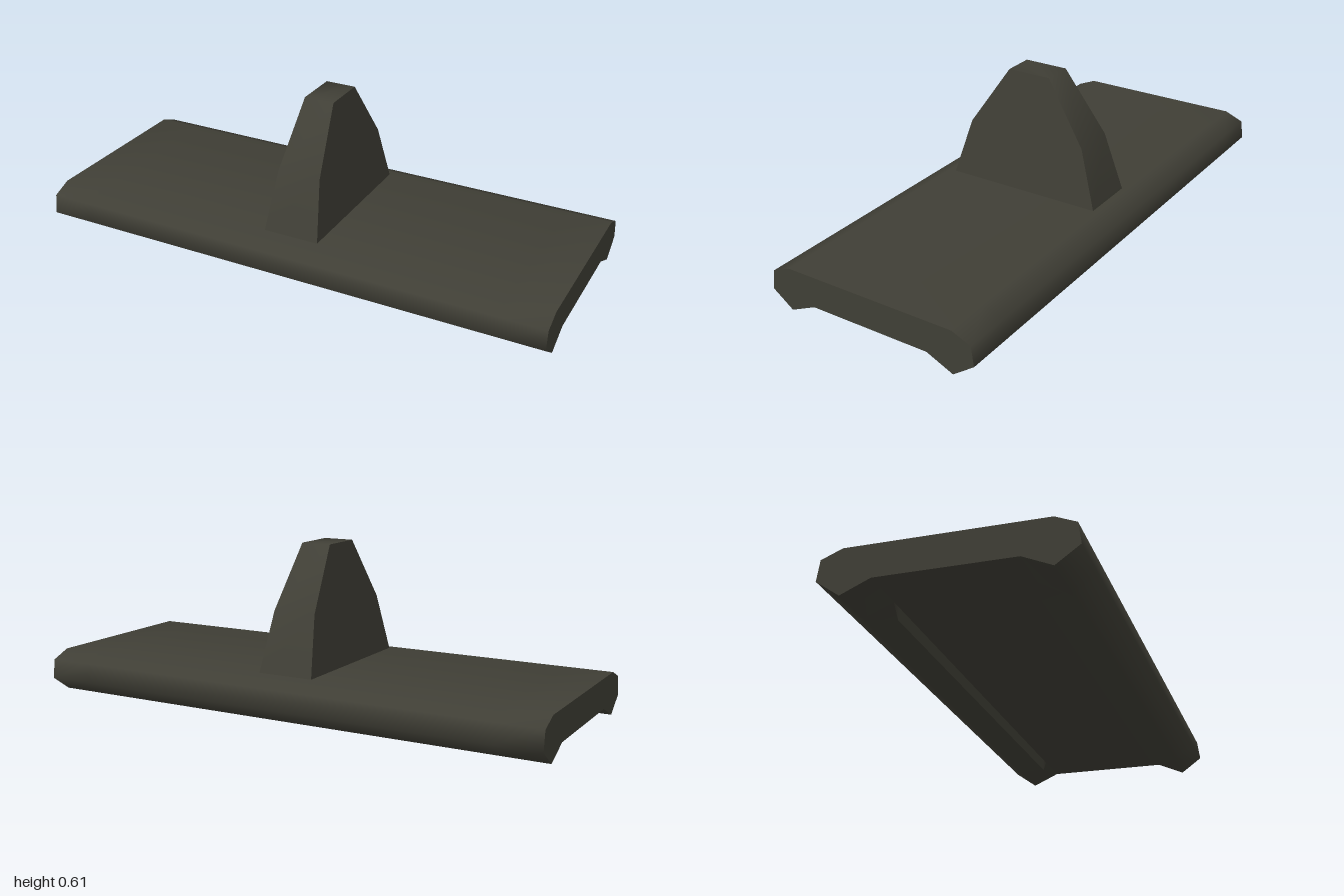
import * as THREE from 'three';
import { toCreasedNormals } from 'three/addons/utils/BufferGeometryUtils.js';

const CREASE = THREE.MathUtils.degToRad(70);
const SHIFT_Z = -0.003;

// Half of the plate's end profile, as [z, y], from the top round to the underside
const HALF = [[0.333, 0.16], [0.405, 0.13], [0.415, 0.058], [0.334, 0], [0.233, 0.045]];
const mirrored = (half) => [...half, ...half.map(([z, y]) => [-z, y]).reverse()];

// Cross-section of the plate; ribY is the height of the underside rib's inner corner
const section = (ribY) => mirrored([...HALF.slice(0, 4), [0.233, ribY], HALF[4]]);

// Skin joining cross-sections along x
function loft(rings) {
  const pos = [];
  const index = [];
  const n = rings[0].points.length;
  rings.forEach(({ x, points }) => points.forEach(([z, y]) => pos.push(x, y, z)));
  for (let r = 0; r < rings.length - 1; r++) {
    for (let i = 0; i < n; i++) {
      const a = r * n + i;
      const b = r * n + (i + 1) % n;
      index.push(a, b, a + n, b, b + n, a + n);
    }
  }
  const geo = new THREE.BufferGeometry();
  geo.setAttribute('position', new THREE.Float32BufferAttribute(pos, 3));
  geo.setIndex(index);
  return toCreasedNormals(geo, CREASE);
}

export function createModel() {
  const model = new THREE.Group();
  model.name = 'trackLink';
  const darkSteel = new THREE.MeshStandardMaterial({ color: 0x403f36 });
  darkSteel.name = 'darkSteel';

  const add = (name, geo) => {
    const mesh = new THREE.Mesh(geo, darkSteel);
    mesh.name = name;
    mesh.position.z = SHIFT_Z;
    model.add(mesh);
    return mesh;
  };

  // Plate with two underside ribs that stop short of the ends
  const plain = section(0.045);
  const ribbed = section(0);
  add('plate', loft([
    { x: -1, points: plain },
    { x: -0.83, points: plain },
    { x: -0.79, points: ribbed },
    { x: 0.79, points: ribbed },
    { x: 0.83, points: plain },
    { x: 1, points: plain },
  ]));

  // Flat ends of the plate
  const endShape = new THREE.Shape(mirrored(HALF).map(([z, y]) => new THREE.Vector2(z, y)));
  for (const side of [1, -1]) {
    const end = add(side > 0 ? 'leftEndFace' : 'rightEndFace', new THREE.ShapeGeometry(endShape));
    end.rotation.y = side * Math.PI / 2;
    end.position.x = side;
  }

  // Guide tooth, narrowing in x towards its top
  const toothHalf = [[0.085, 0.612], [0.241, 0.38], [0.308, 0.16]];
  const toothShape = new THREE.Shape(mirrored(toothHalf).map(([z, y]) => new THREE.Vector2(z, y)));
  const tooth = new THREE.ExtrudeGeometry(toothShape, { depth: 2, bevelEnabled: false });
  tooth.translate(0, 0, -1).rotateY(Math.PI / 2);
  const p = tooth.attributes.position;
  for (let i = 0; i < p.count; i++) {
    const t = (p.getY(i) - 0.16) / 0.452;
    p.setX(i, p.getX(i) * THREE.MathUtils.lerp(0.108, 0.058, t));
  }
  add('guideTooth', toCreasedNormals(tooth, CREASE));

  return model;
}
